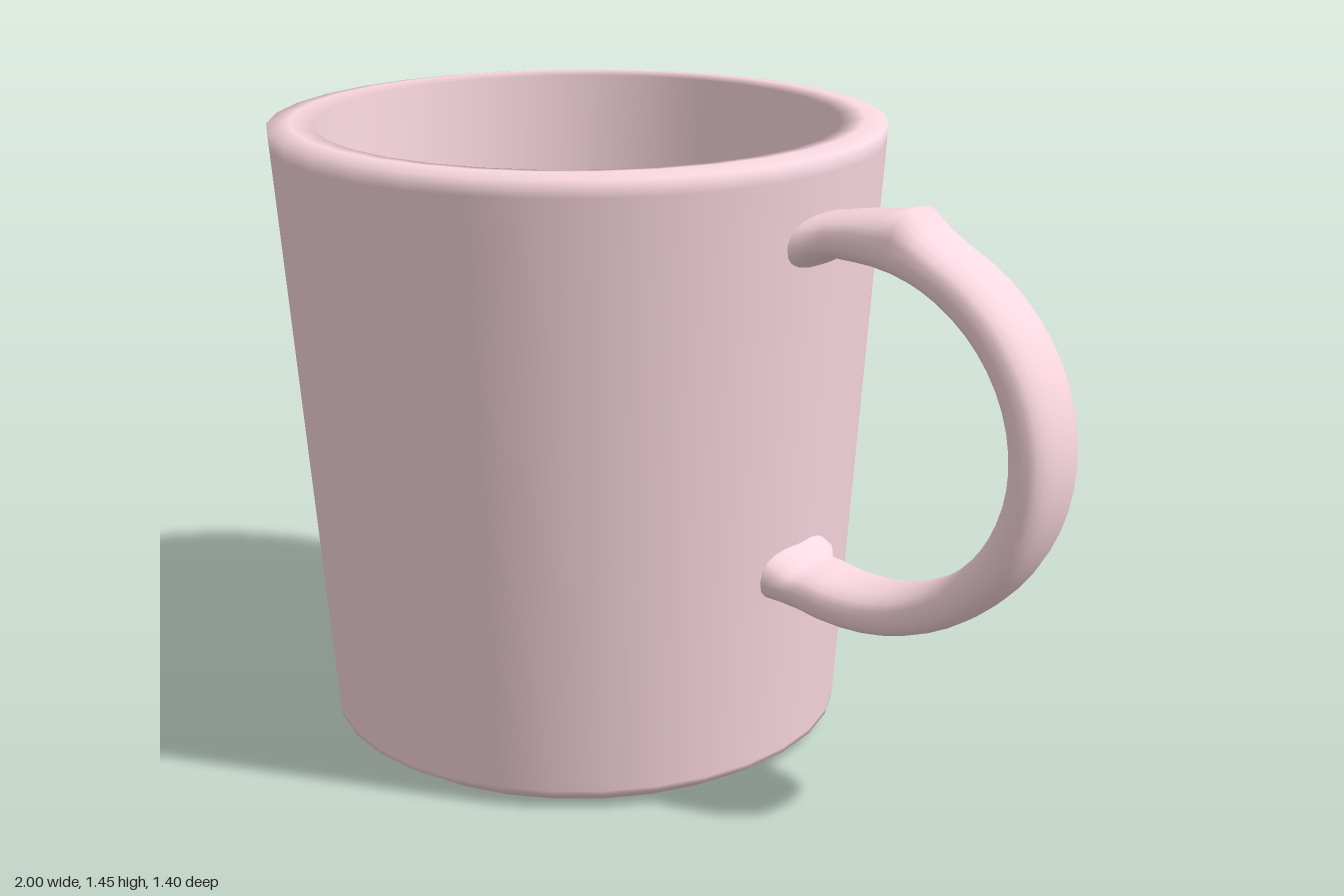
import * as THREE from 'three';

const material = new THREE.MeshStandardMaterial({ color: 0xfbd8e1 });
const CUP_X = -0.298;

// Tapered cup: underside, outer wall, soft rim, inner wall and floor in one turned profile
function makeCup() {
  const profile = [
    [0, 0], [0.53, 0], [0.555, 0.002], [0.602, 0.033], [0.604, 0.045],
    [0.7, 1.4], [0.702, 1.437], [0.65, 1.445], [0.598, 1.438],
    [0.558, 0.16], [0.545, 0.13], [0.51, 0.11], [0.48, 0.105], [0, 0.105],
  ].map(([r, y]) => new THREE.Vector2(r, y));
  const cup = new THREE.Mesh(new THREE.LatheGeometry(profile, 32), material);
  cup.name = 'cup';
  cup.position.x = CUP_X;
  return cup;
}

// Sweeps a rounded band along stations of [x, y, inner thickness, outer thickness, half width]
function sweepBand(stations, sides) {
  const positions = [], index = [];
  const at = (i) => stations[Math.min(Math.max(i, 0), stations.length - 1)];
  const soft = (v, p) => Math.sign(v) * Math.abs(v) ** p;
  stations.forEach(([x, y, inner, outer, width], i) => {
    const dx = at(i + 1)[0] - at(i - 1)[0], dy = at(i + 1)[1] - at(i - 1)[1];
    const len = Math.hypot(dx, dy);
    const nx = -dy / len, ny = dx / len; // points to the outer side of the loop
    for (let j = 0; j < sides; j++) {
      const a = (j / sides) * Math.PI * 2;
      const c = soft(Math.cos(a), 0.8), s = soft(Math.sin(a), 0.8);
      const t = c > 0 ? c * outer : c * inner;
      positions.push(x + nx * t, y + ny * t, s * width);
      if (i < stations.length - 1) {
        const p = i * sides + j, q = i * sides + ((j + 1) % sides);
        index.push(p, q, p + sides, q, q + sides, p + sides);
      }
    }
  });
  const geometry = new THREE.BufferGeometry();
  geometry.setAttribute('position', new THREE.Float32BufferAttribute(positions, 3));
  geometry.setIndex(index);
  geometry.computeVertexNormals();
  return geometry;
}

// Loop handle: flared roots sunk in the wall, with a small thumb rest on top
function makeHandle() {
  const stations = [
    [0.35, 1.25, 0.06, 0.062, 0.12],
    [0.385, 1.26, 0.055, 0.055, 0.115],
    [0.405, 1.267, 0.045, 0.05, 0.098],
    [0.45, 1.276, 0.045, 0.05, 0.094],
  ];
  const thumbRest = [0.006, 0.014, 0.04, 0.01];
  const cx = 0.51, cy = 0.87, steps = 30;
  for (let i = 0; i <= steps; i++) {
    const a = Math.PI * (0.5 - (i / steps) * 1.08);
    const outer = 0.052 + (thumbRest[i] ?? 0);
    stations.push([cx + 0.435 * Math.cos(a), cy + 0.41 * Math.sin(a), 0.051, outer, 0.095]);
  }
  stations.push(
    [0.363, 0.477, 0.048, 0.05, 0.1],
    [0.34, 0.49, 0.06, 0.056, 0.122],
    [0.3, 0.505, 0.066, 0.06, 0.126],
  );
  const handle = new THREE.Mesh(sweepBand(stations, 20), material);
  handle.name = 'handle';
  return handle;
}

export function createModel() {
  const mug = new THREE.Group();
  mug.name = 'mug';
  mug.add(makeCup(), makeHandle());
  return mug;
}
